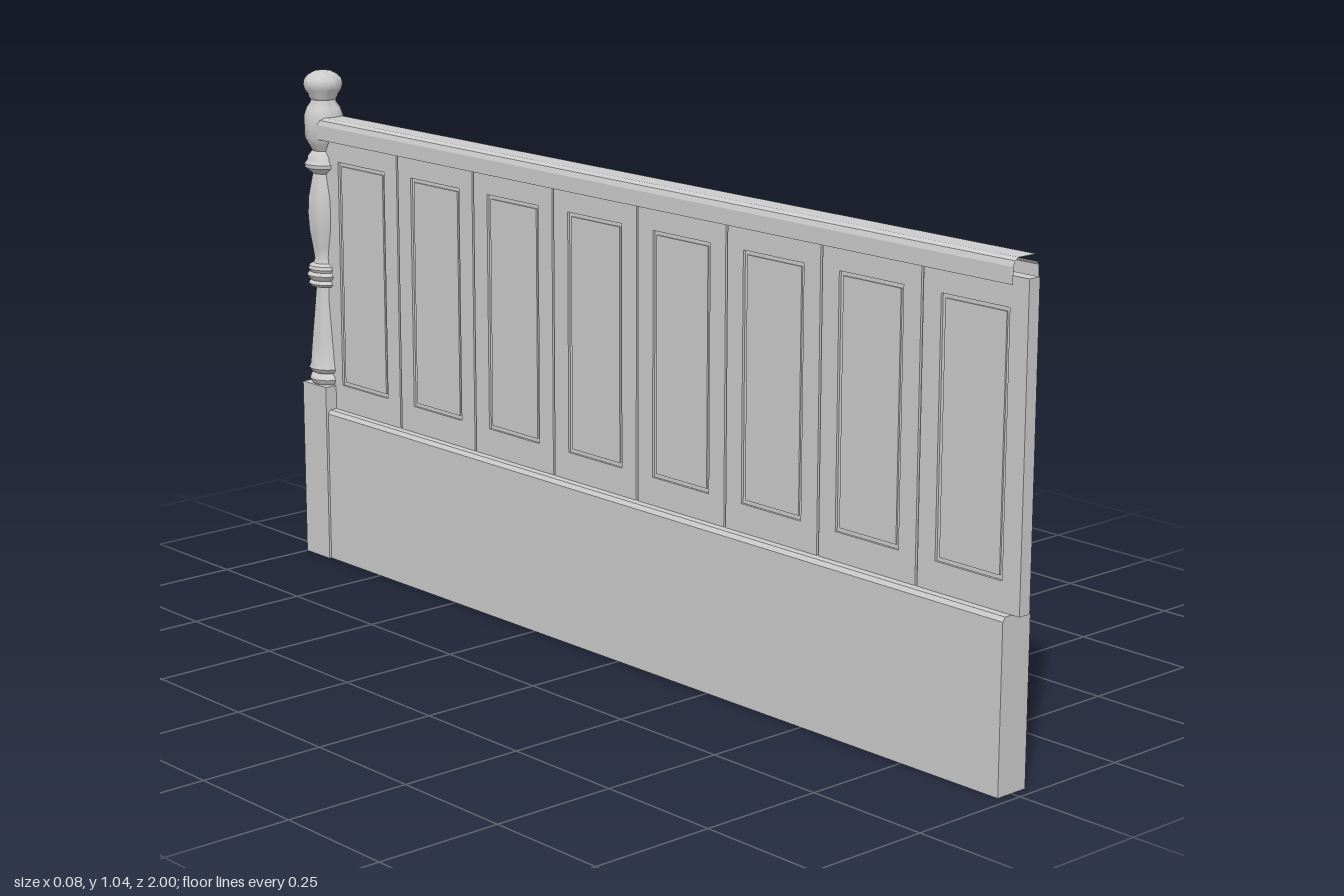
import * as THREE from 'three';
import { toCreasedNormals } from 'three/addons/utils/BufferGeometryUtils.js';

const grey = new THREE.MeshStandardMaterial({ color: 0xcccccc });

function add(parent, name, geometry, x = 0, y = 0, z = 0) {
  const mesh = new THREE.Mesh(geometry, grey);
  mesh.name = name;
  mesh.position.set(x, y, z);
  parent.add(mesh);
  return mesh;
}

const polygon = (points) => new THREE.Shape(points.map(([x, y]) => new THREE.Vector2(x, y)));

// Counter-clockwise rectangle around the origin
const rectangle = (w, h) => [[-w / 2, -h / 2], [w / 2, -h / 2], [w / 2, h / 2], [-w / 2, h / 2]];

// Extrude a cross-section along z between two positions
function alongZ(points, z0, z1) {
  const g = new THREE.ExtrudeGeometry(polygon(points), { depth: z1 - z0, bevelEnabled: false });
  return g.translate(0, 0, z0);
}

// Keep only the side walls of an extrusion, leaving its ends open
function openEnds(extrusion) {
  const { start, count } = extrusion.groups[1];
  const g = new THREE.BufferGeometry();
  for (const name of ['position', 'normal']) {
    const data = extrusion.attributes[name].array.slice(start * 3, (start + count) * 3);
    g.setAttribute(name, new THREE.BufferAttribute(data, 3));
  }
  return g;
}

function createPost() {
  const post = new THREE.Group();
  post.name = 'newelPost';
  post.position.z = -0.96;

  // Square foot, open underneath
  const foot = new THREE.BoxGeometry(0.08, 0.375, 0.08);
  const index = Array.from(foot.index.array);
  index.splice(18, 6);
  foot.setIndex(index);
  foot.clearGroups();
  add(post, 'postFoot', foot, 0, 0.1875, 0);

  // Turned shaft: rings, taper, belly, collar and ball finial
  const profile = [
    [0.032, 0.372], [0.038, 0.378], [0.041, 0.386], [0.038, 0.394], [0.032, 0.398],
    [0.038, 0.402], [0.042, 0.409], [0.039, 0.416],
    [0.034, 0.47], [0.028, 0.53], [0.023, 0.583],
    [0.034, 0.585], [0.039, 0.591], [0.034, 0.598],
    [0.039, 0.603], [0.042, 0.609], [0.036, 0.616],
    [0.039, 0.622], [0.037, 0.629], [0.028, 0.634], [0.025, 0.642],
    [0.029, 0.67], [0.035, 0.705], [0.037, 0.74], [0.035, 0.775], [0.029, 0.805], [0.025, 0.824],
    [0.034, 0.831], [0.041, 0.837], [0.042, 0.845], [0.036, 0.852],
    [0.035, 0.86], [0.03, 0.866], [0.025, 0.872],
    [0.032, 0.885], [0.04, 0.9], [0.041, 0.945], [0.035, 0.962], [0.027, 0.973],
    [0.026, 0.979], [0.03, 0.985], [0.031, 0.99],
    [0.038, 1.0], [0.041, 1.011], [0.039, 1.021], [0.031, 1.03], [0.018, 1.037], [0, 1.04],
  ].map(([r, y]) => new THREE.Vector2(r, y));
  const shaft = new THREE.LatheGeometry(profile, 24);
  add(post, 'turnedShaft', toCreasedNormals(shaft, 0.7));
  return post;
}

function createPanelling() {
  const panelling = new THREE.Group();
  panelling.name = 'panelling';
  const count = 8, pitch = 0.2425, bottom = 0.325, top = 0.91;
  const height = top - bottom, middle = (top + bottom) / 2;

  // Thin core forms the recessed fields and closes the joints
  add(panelling, 'panelCore', new THREE.BoxGeometry(0.016, height, count * pitch - 0.01),
    0, middle, 1 - count * pitch / 2);

  // One frame per bay, standing proud on both faces
  const frameShape = polygon(rectangle(pitch - 0.005, height));
  frameShape.holes.push(new THREE.Path(
    rectangle(0.155, height - 0.11).reverse().map(([x, y]) => new THREE.Vector2(x, y))));
  const frame = new THREE.ExtrudeGeometry(frameShape, { depth: 0.026, bevelEnabled: false })
    .translate(0, 0, -0.013).rotateY(Math.PI / 2);

  // Raised field inside each frame
  const field = new THREE.BoxGeometry(0.022, height - 0.126, 0.139);
  for (let i = 0; i < count; i++) {
    const z = 1 - pitch * (i + 0.5);
    add(panelling, 'panelFrame', frame, 0, middle, z);
    add(panelling, 'panelField', field, 0, middle, z);
  }
  return panelling;
}

export function createModel() {
  const model = new THREE.Group();
  model.name = 'balustrade';

  // Solid plinth with eased top edges
  const plinth = [[-0.035, 0], [0.035, 0], [0.035, 0.317], [0.029, 0.325], [-0.029, 0.325], [-0.035, 0.317]];
  add(model, 'plinth', alongZ(plinth, -0.93, 0.98));

  model.add(createPanelling());

  // Channel-shaped handrail that caps the panelling
  const outer = [[0.034, 0.9], [0.034, 0.93], [0.03, 0.94], [0.022, 0.945]];
  const inner = [[0.025, 0.932], [0.03, 0.926], [0.03, 0.9]];
  const half = [...outer, ...outer.map(([x, y]) => [-x, y]).reverse()];
  const rail = [...half, ...inner.map(([x, y]) => [-x, y]).reverse(), ...inner];
  add(model, 'handrail', openEnds(alongZ(rail, -0.94, 0.98)));

  model.add(createPost());
  return model;
}
